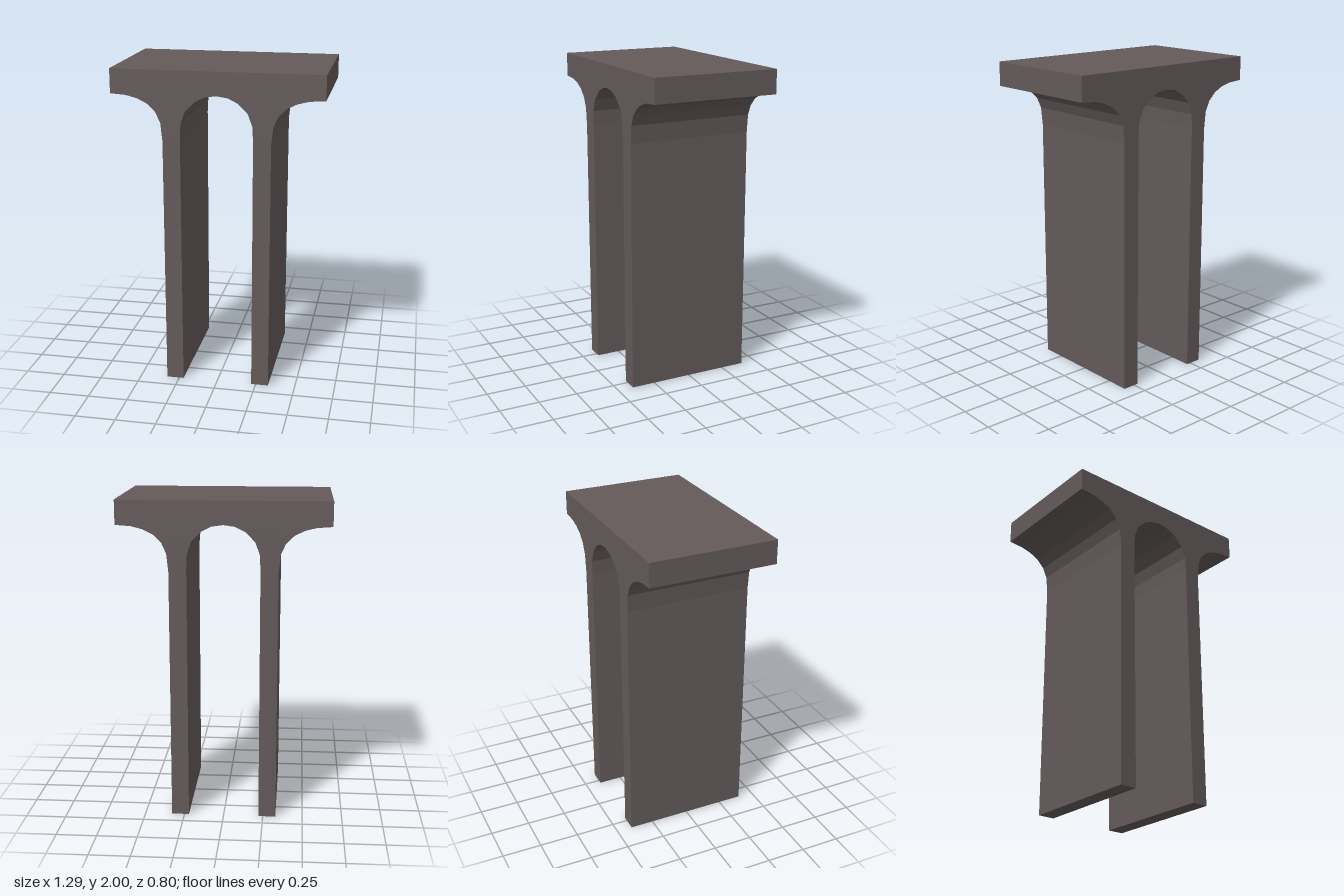
import * as THREE from 'three';

export function createModel() {
  const group = new THREE.Group();
  const depth = 0.8;
  const material = new THREE.MeshStandardMaterial({ color: 0x645a5a, flatShading: true });

  // Right half of the section: crown of the arch, inner leg, outer haunch, deck
  const half = [
    [0.07, 1.845], [0.13, 1.815], [0.19, 1.755], [0.217, 1.68], [0.222, 1.59], [0.222, 0],
    [0.33, 0], [0.33, 1.57], [0.341, 1.68], [0.37, 1.745], [0.42, 1.795],
    [0.48, 1.825], [0.55, 1.843], [0.647, 1.85], [0.647, 2],
  ];
  const mirrored = half.map(([x, y]) => [-x, y]).reverse();
  const outline = [[0, 1.855], ...half, ...mirrored].map(([x, y]) => new THREE.Vector2(x, y));

  // Twin-legged beam: one section extruded along z
  const geometry = new THREE.ExtrudeGeometry(new THREE.Shape(outline), { depth, bevelEnabled: false });
  geometry.translate(0, 0, -depth / 2);
  const beam = new THREE.Mesh(geometry, material);
  beam.name = 'twinLeggedBeam';
  group.add(beam);
  return group;
}
